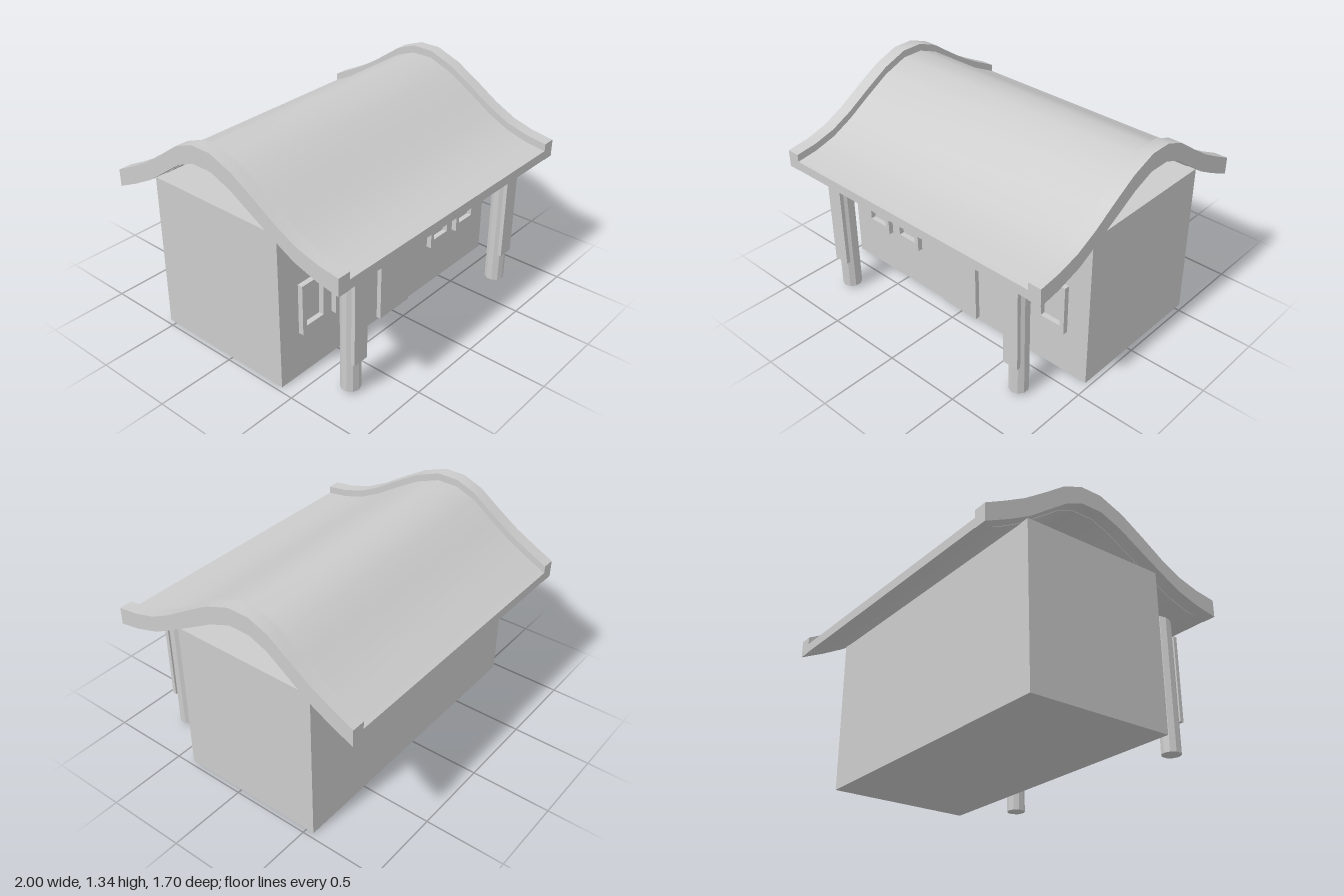
import * as THREE from 'three';
import { toCreasedNormals } from 'three/addons/utils/BufferGeometryUtils.js';

const material = new THREE.MeshStandardMaterial({ color: 0xcccccc });
const flatMaterial = new THREE.MeshStandardMaterial({ color: 0xcccccc, flatShading: true });

// Roof curve, as [z, y] from the front eave to the back eave
const roofTop = [[0.85, 0.955], [0.71, 0.975], [0.57, 1.015], [0.43, 1.085], [0.28, 1.18], [0.12, 1.275],
  [-0.04, 1.335], [-0.18, 1.335], [-0.31, 1.285], [-0.45, 1.185], [-0.59, 1.09], [-0.72, 1.02], [-0.85, 0.955]];
const roofBottom = [[0.85, 0.845], [0.71, 0.87], [0.55, 0.92], [0.4, 1.0], [0.24, 1.09], [0.1, 1.17],
  [-0.04, 1.225], [-0.18, 1.225], [-0.3, 1.175], [-0.42, 1.09], [-0.56, 0.99], [-0.7, 0.915], [-0.85, 0.845]];

// Extrudes a band between two [z, y] curves along x
function band(top, bottom, x0, x1) {
  const outline = [...top, ...[...bottom].reverse()].map(([z, y]) => new THREE.Vector2(-z, y));
  const geometry = new THREE.ExtrudeGeometry(new THREE.Shape(outline), { depth: x1 - x0, bevelEnabled: false });
  geometry.rotateY(Math.PI / 2).translate(x0, 0, 0);
  return toCreasedNormals(geometry, 0.6);
}

function rectangle(path, w, h) {
  path.moveTo(-w / 2, -h / 2);
  path.lineTo(w / 2, -h / 2);
  path.lineTo(w / 2, h / 2);
  path.lineTo(-w / 2, h / 2);
  path.closePath();
  return path;
}

export function createModel() {
  const group = new THREE.Group();
  const add = (name, geometry, x = 0, y = 0, z = 0, mat = material) => {
    const mesh = new THREE.Mesh(geometry, mat);
    mesh.name = name;
    mesh.position.set(x, y, z);
    group.add(mesh);
  };

  // House body and door
  add('walls', new THREE.BoxGeometry(1.94, 1, 0.95), 0, 0.5, -0.075);
  add('door', new THREE.BoxGeometry(0.275, 0.525, 0.04), 0, 0.283, 0.41);

  // Thin curved roof between the raised gable boards
  const slabBottom = roofBottom.map(([z, y]) => [z, y + (Math.abs(z) < 0.84 ? -0.004 : 0.003)]);
  const slabTop = roofBottom.map(([z, y], i) => [roofTop[i][0], roofTop[i][1] - 0.047]);
  add('roof', band(slabTop, slabBottom, -0.917, 0.917));

  // Window frame with an opening onto the wall
  const frame = rectangle(new THREE.Shape(), 0.197, 0.325);
  frame.holes.push(rectangle(new THREE.Path(), 0.137, 0.225));
  const frameGeometry = new THREE.ExtrudeGeometry(frame, { depth: 0.035, bevelEnabled: false });

  const postGeometry = new THREE.CylinderGeometry(0.06, 0.06, 0.87, 10);
  const boardGeometry = new THREE.BoxGeometry(0.105, 0.55, 0.025);

  for (const side of [1, -1]) {
    const label = side > 0 ? 'left' : 'right';
    add(label + 'GableBoard', side > 0 ? band(roofTop, roofBottom, 0.915, 1) : band(roofTop, roofBottom, -1, -0.915));
    add(label + 'InnerWindow', frameGeometry, side * 0.453, 0.458, 0.398);
    add(label + 'OuterWindow', frameGeometry, side * 0.724, 0.458, 0.398);
    // Porch post with a board on its front
    add(label + 'Post', postGeometry, side * 0.72, 0.455, 0.69, flatMaterial);
    add(label + 'PostBoard', boardGeometry, side * 0.717, 0.497, 0.7475);
  }
  return group;
}
